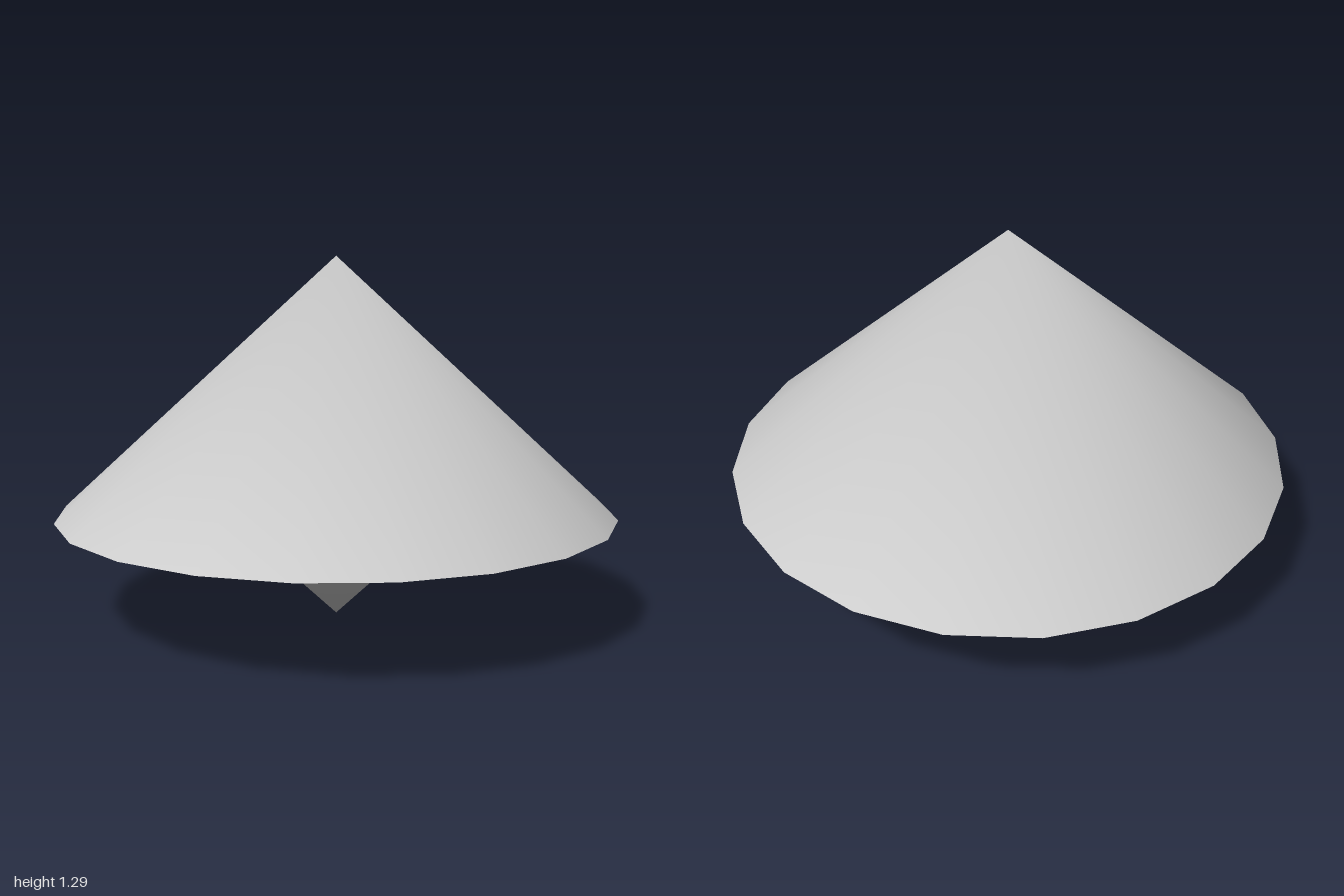
import * as THREE from 'three';

const SIDES = 20;
const RIM_Y = 0.37;

// Smooth cone whose tip normals point along the axis, so shading rounds off at the apex
function softCone(radius, height, openEnded) {
  const geometry = new THREE.ConeGeometry(radius, height, SIDES, 1, openEnded);
  const { position, normal } = geometry.attributes;
  for (let i = 0; i < position.count; i++) {
    if (position.getY(i) > 0) normal.setXYZ(i, 0, 1, 0);
  }
  return geometry.translate(0, height / 2, 0);
}

export function createModel() {
  const group = new THREE.Group();
  group.name = 'doubleCone';
  const material = new THREE.MeshStandardMaterial({ color: 0xcccccc });

  // Wide upper cone with a flat underside
  const upperCone = new THREE.Mesh(softCone(1, 1.29 - RIM_Y, false), material);
  upperCone.name = 'upperCone';
  upperCone.position.y = RIM_Y;

  // Small cone pointing down from the underside
  const lowerCone = new THREE.Mesh(softCone(0.395, RIM_Y, true), material);
  lowerCone.name = 'lowerCone';
  lowerCone.rotation.x = Math.PI;
  lowerCone.position.y = RIM_Y;

  group.add(upperCone, lowerCone);
  return group;
}
